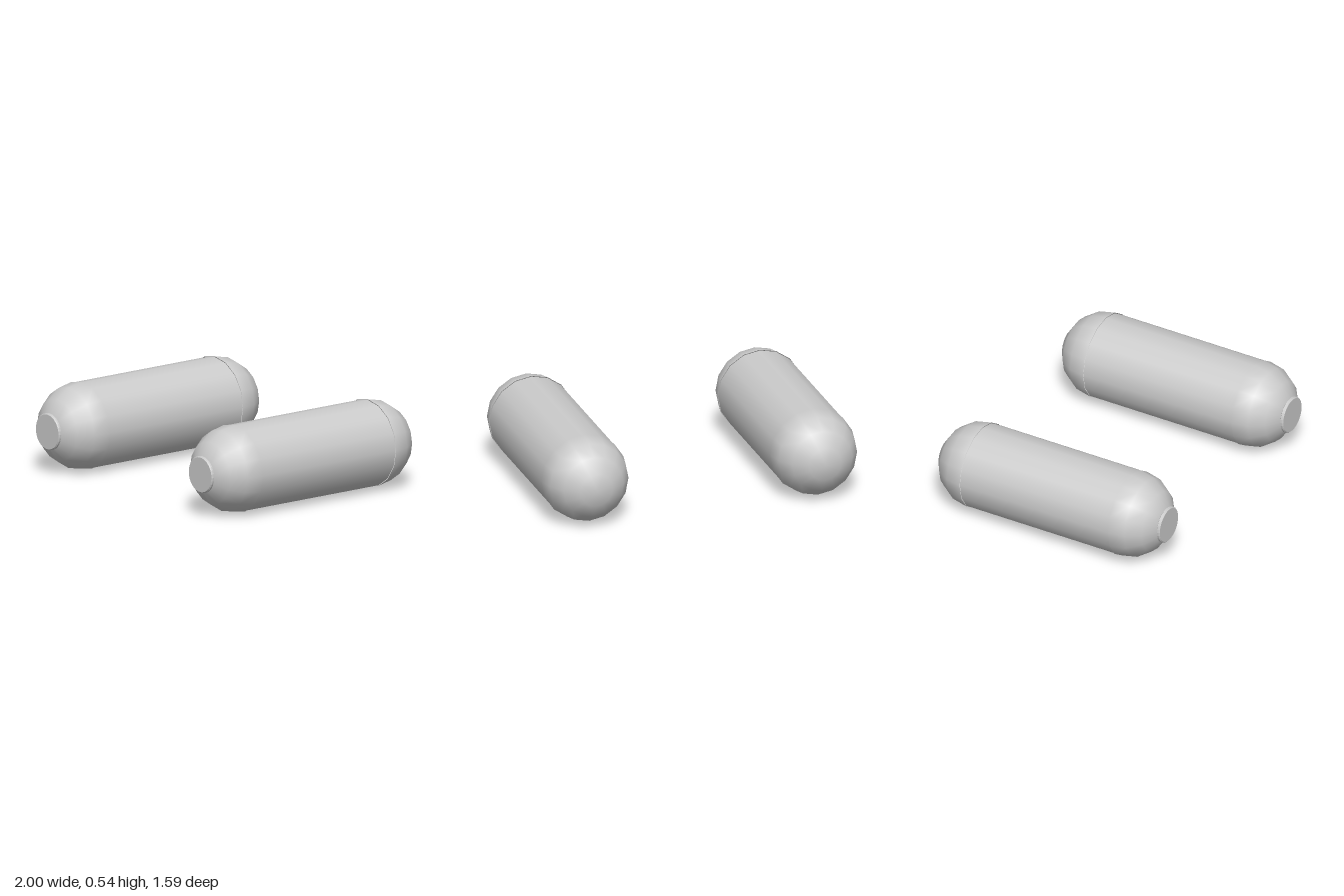
import * as THREE from 'three';

const R = 0.271;        // dome radius
const HALF = 0.525;     // half length of the straight barrel
const SIDES = 16;

const grey = new THREE.MeshStandardMaterial({ color: 0xcccccc });
const greyDouble = new THREE.MeshStandardMaterial({ color: 0xcccccc, side: THREE.DoubleSide });

function part(name, geometry, material = grey) {
  const mesh = new THREE.Mesh(geometry, material);
  mesh.name = name;
  return mesh;
}

// Half sphere with its pole along +z (front) or -z (back)
function dome(name, dir) {
  const g = new THREE.SphereGeometry(R, SIDES, 4, 0, Math.PI * 2, 0, Math.PI / 2);
  g.rotateX(dir * Math.PI / 2);
  g.translate(0, 0, dir * HALF);
  return part(name, g, greyDouble);
}

// Thin round plate with a small bevelled rim, set on the front dome
function frontPlate() {
  const profile = [[0, 0.765], [0.106, 0.774], [0.114, 0.779], [0.114, 0.79], [0.108, 0.796], [0, 0.796]]
    .map(([r, z]) => new THREE.Vector2(r, z));
  const g = new THREE.LatheGeometry(profile, 32).rotateX(Math.PI / 2);
  const flat = g.toNonIndexed();
  flat.computeVertexNormals();
  return part('frontPlate', flat);
}

function capsule(name, x) {
  const group = new THREE.Group();
  group.name = name;
  // Barrel, slightly slimmer than the domes so they leave a fine lip
  const barrel = new THREE.CylinderGeometry(0.267, 0.267, HALF * 2, SIDES).rotateX(Math.PI / 2);
  group.add(part('barrel', barrel), dome('frontDome', 1), dome('backDome', -1), frontPlate());
  group.position.set(x, R, 0);
  return group;
}

export function createModel() {
  const model = new THREE.Group();
  model.name = 'twinCapsules';
  model.add(capsule('leftCapsule', 1 - R), capsule('rightCapsule', R - 1));
  return model;
}
